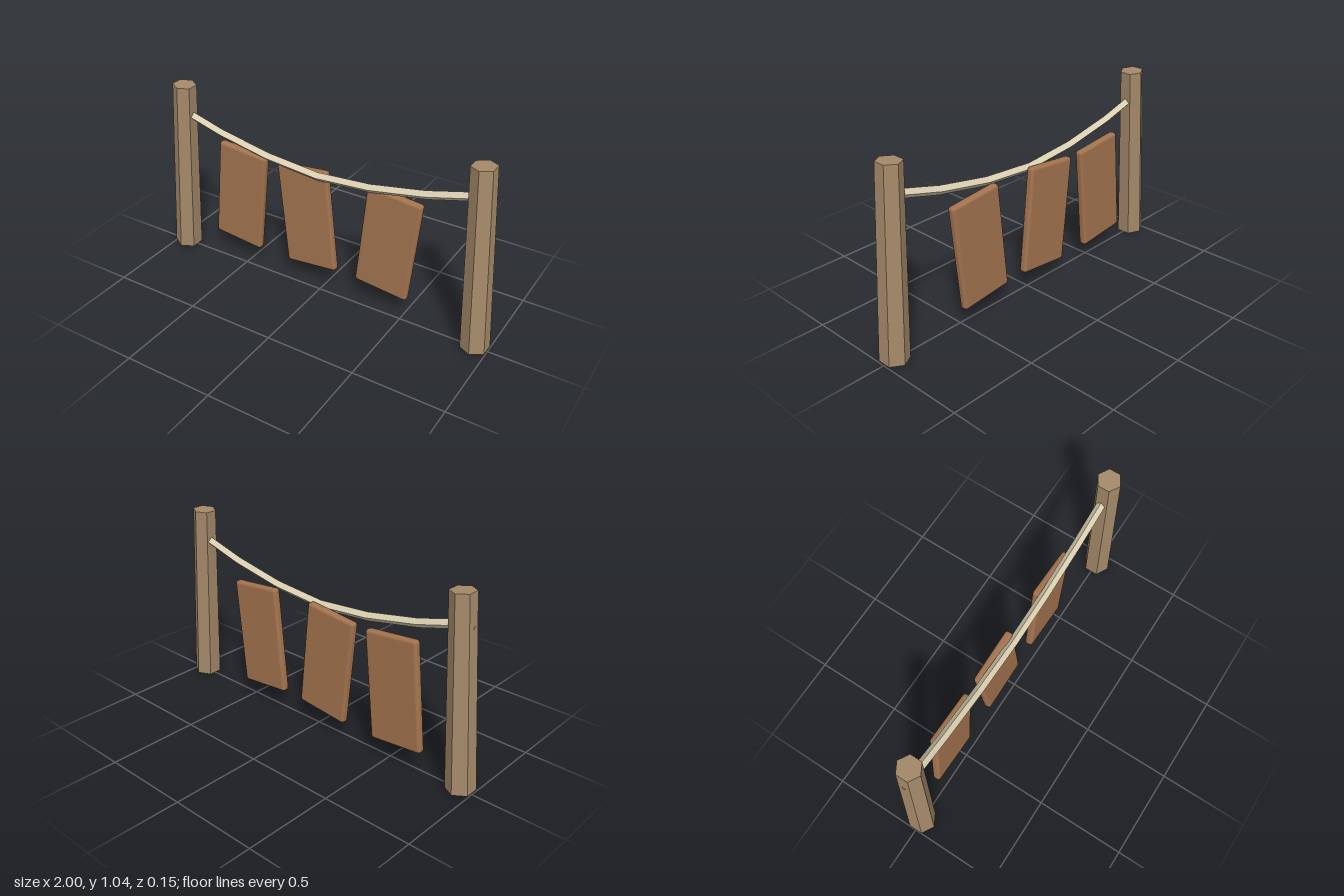
import * as THREE from 'three';
import { RoundedBoxGeometry } from 'three/addons/geometries/RoundedBoxGeometry.js';

export function createModel() {
  const model = new THREE.Group();
  model.name = 'dryingRack';

  const wood = new THREE.MeshStandardMaterial({ color: 0xa58a6a, flatShading: true });
  wood.name = 'weatheredWood';
  const cord = new THREE.MeshStandardMaterial({ color: 0xdbd0b2, flatShading: true });
  cord.name = 'paleRope';
  const leather = new THREE.MeshStandardMaterial({ color: 0xa3734e });
  leather.name = 'tannedLeather';

  const add = (name, geometry, material, x, y, z, tilt) => {
    const mesh = new THREE.Mesh(geometry, material);
    mesh.name = name;
    mesh.position.set(x, y, z);
    mesh.rotation.z = tilt;
    model.add(mesh);
  };

  // Tapered six-sided posts leaning inwards
  const post = new THREE.CylinderGeometry(0.065, 0.077, 1.03, 6);
  add('rightPost', post, wood, -0.898, 0.519, 0, -0.067);
  add('leftPost', post, wood, 0.904, 0.519, 0, 0.052);

  // Sagging square rope, ending inside or just past the posts
  const sag = [[-0.93, 0.885], [-0.61, 0.795], [-0.31, 0.738], [0, 0.712],
    [0.31, 0.738], [0.61, 0.795], [0.9, 0.875]];
  const path = new THREE.CatmullRomCurve3(sag.map(([x, y]) => new THREE.Vector3(x, y, -0.002)));
  cord.side = THREE.DoubleSide;
  add('rope', new THREE.TubeGeometry(path, 6, 0.024, 4), cord, 0, 0, 0, 0);

  // Hanging hides behind the rope, tilted alternately
  const hide = new RoundedBoxGeometry(0.31, 0.6, 0.046, 2, 0.017);
  [-0.541, -0.1, 0.391].forEach((x, i) => {
    add('hide' + (i + 1), hide, leather, x, 0.419, -0.042, i % 2 ? 0.1 : -0.1);
  });

  return model;
}
